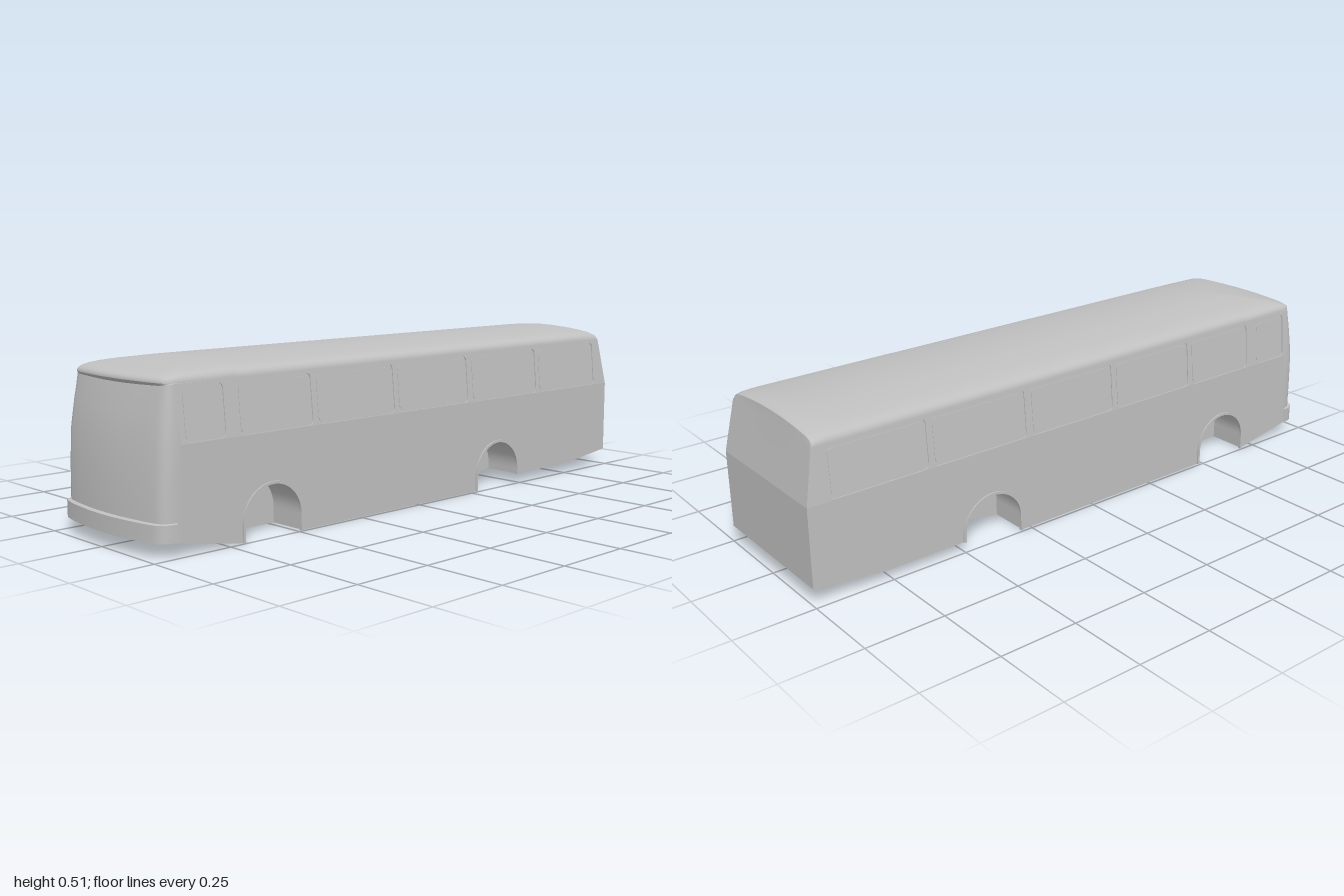
import * as THREE from 'three';

const paint = new THREE.MeshStandardMaterial({ color: 0xc0c0c0, side: THREE.DoubleSide });
paint.name = 'body grey';

const ARCHES = [-0.39, 0.59], R = 0.11, ARCH_Y = 0.05, WELL_X = 0.11, SKIN = 0.004;
const WINDOWS = [[0.75, 0.89], [0.435, 0.705], [0.1, 0.42], [-0.24, 0.085], [-0.595, -0.26], [-0.93, -0.61]];

// Height of the underside along the length
const KEEL = [[-1, 0.055], [-0.77, 0.03], [-0.5, 0.03], [-0.28, 0], [0.7, 0], [0.985, 0.05]];
function keelY(z) {
  for (let i = 1; i < KEEL.length; i++) {
    const [z0, y0] = KEEL[i - 1], [z1, y1] = KEEL[i];
    if (z <= z1) return y0 + (y1 - y0) * (z - z0) / (z1 - z0);
  }
  return 0.05;
}
// Half width: upright below the waist, leaning in above it
const halfWidth = y => 0.24 - Math.max(0, y - 0.3) * (0.015 / 0.16);

const mirrorRow = half => [...half, ...half.slice(0, -1).reverse().map(([x, y, z]) => [-x, y, z])];

// Surface through rows of points
function grid(rows) {
  const n = rows[0].length, index = [];
  for (let r = 0; r < rows.length - 1; r++)
    for (let i = 0; i < n - 1; i++) {
      const a = r * n + i, b = a + n;
      index.push(a, a + 1, b, a + 1, b + 1, b);
    }
  const g = new THREE.BufferGeometry();
  g.setAttribute('position', new THREE.Float32BufferAttribute(rows.flat(2), 3));
  g.setIndex(index);
  g.computeVertexNormals();
  return g;
}

// Flat (z, y) shape turned into a thin side panel that follows the wall
function sidePanel(shape, side, depth, out = 0) {
  const g = new THREE.ExtrudeGeometry(shape, { depth, bevelEnabled: false, curveSegments: 24 });
  g.rotateY(-Math.PI / 2);
  const p = g.attributes.position;
  for (let i = 0; i < p.count; i++) {
    const inset = side > 0 ? p.getX(i) : p.getX(i) + depth;
    p.setX(i, side * (halfWidth(p.getY(i)) + out) + inset);
  }
  g.computeVertexNormals();
  return g;
}

function archTo(s, c, r, back = false) {
  const a = c - r, b = c + r;
  if (!back) {
    s.lineTo(a, keelY(a)); s.lineTo(a, ARCH_Y);
    s.absarc(c, ARCH_Y, r, Math.PI, 0, true);
    s.lineTo(b, keelY(b));
  } else {
    s.lineTo(b, keelY(b)); s.lineTo(b, ARCH_Y);
    s.absarc(c, ARCH_Y, r, 0, Math.PI, false);
    s.lineTo(a, keelY(a));
  }
}

function roundedHole(z0, z1, y0, y1, r) {
  const h = new THREE.Path();
  h.moveTo(z0 + r, y0);
  h.lineTo(z1 - r, y0); h.quadraticCurveTo(z1, y0, z1, y0 + r);
  h.lineTo(z1, y1 - r); h.quadraticCurveTo(z1, y1, z1 - r, y1);
  h.lineTo(z0 + r, y1); h.quadraticCurveTo(z0, y1, z0, y1 - r);
  h.lineTo(z0, y0 + r); h.quadraticCurveTo(z0, y0, z0 + r, y0);
  return h;
}

// Bowed plan of the nose, from the side to the middle
const NOSE = [[0.24, 0.9], [0.24, 0.918], [0.238, 0.935], [0.232, 0.948], [0.222, 0.958],
  [0.205, 0.965], [0.16, 0.973], [0.11, 0.979], [0.055, 0.984], [0, 0.985]];
function noseRing(w, front, base, ySide, yFront) {
  const plan = base < 0.9 ? [[0.24, base], [0.24, 0.8], ...NOSE] : NOSE;
  return mirrorRow(plan.map(([x, z]) => {
    const t = (z - base) / (0.985 - base);
    return [x * w / 0.24, ySide + (yFront - ySide) * t * t, base + t * (front - base)];
  }));
}

export function createModel() {
  const bus = new THREE.Group();
  bus.name = 'busBody';
  const add = (name, geometry) => {
    const m = new THREE.Mesh(geometry, paint);
    m.name = name;
    bus.add(m);
  };

  // Roof: arched section run from the rear edge to the domed front
  const arch = [[0.225, 0.46], [0.2245, 0.466], [0.222, 0.473], [0.217, 0.48], [0.208, 0.486], [0.19, 0.492],
    [0.155, 0.498], [0.11, 0.504], [0.055, 0.5085], [0, 0.51]];
  const roofRow = (z, drop) => mirrorRow(arch.map(([x, y]) => [x, y - drop * (y - 0.46) / 0.05, z]));
  const rearEdge = roofRow(-0.963, 0.014);
  add('roof', grid([rearEdge, roofRow(-0.95, 0.006), roofRow(-0.92, 0.001), roofRow(-0.85, 0), roofRow(0.7, 0)]));

  const domeFront = [[0.957, 0.462], [0.957, 0.467], [0.953, 0.473], [0.945, 0.478], [0.93, 0.483],
    [0.91, 0.488], [0.875, 0.495], [0.83, 0.502], [0.77, 0.508], [0.7, 0.51]];
  const dome = arch.map(([x, y], i) => noseRing(x, domeFront[i][0], 0.7, y, domeFront[i][1]));
  add('roofFront', grid(dome));

  // Front wall, with the brow shelf above it
  const bottom = noseRing(0.24, 0.985, 0.9, 0, 0).map(([x, , z]) => [x, keelY(z), z]);
  const face = [[0.1, 0.985], [0.2, 0.982], [0.3, 0.974], [0.38, 0.961]]
    .map(([y, f]) => noseRing(halfWidth(y), f, 0.9, y, y));
  const faceTop = noseRing(0.225, 0.944, 0.9, 0.46, 0.451);
  add('frontWall', grid([bottom, ...face, faceTop]));
  add('frontBrow', grid([faceTop, dome[0].slice(2, -2)]));

  // Rear wall: upright panel and leaning upper panel
  const rearRow = (y, z) => rearEdge.map(([x]) => [x * halfWidth(y) / 0.225, y, z]);
  add('rearLowerPanel', grid([rearRow(0.055, -1), rearRow(0.3, -1)]));
  add('rearUpperPanel', grid([rearRow(0.3, -1), rearRow(0.46, -0.968), rearEdge]));

  // Bumper wrapped around the nose
  const bumperRing = (y, grow) => mirrorRow(NOSE.slice(1)
    .map(([x, z]) => [x * (1 + grow * 0.025), y, z + grow * 0.015 * (z - 0.9) / 0.085]));
  const bumper = [[0.042, 0], [0.042, 1], [0.092, 1], [0.094, 0]].map(([y, g]) => bumperRing(y, g));
  for (let i = 0; i < 3; i++) add('bumper', grid([bumper[i], bumper[i + 1]]));

  // Underside, leaving the wheel wells open
  const floor = (x0, x1, zs) => add('floor', grid(zs.map(z => [[x0, keelY(z), z], [x1, keelY(z), z]])));
  floor(-WELL_X, WELL_X, [-1, -0.77, -0.5, -0.28, 0.7]);
  add('frontFloor', grid([bottom.map(([x]) => [x, 0, 0.7]), bottom]));

  for (const side of [1, -1]) {
    const inner = side * WELL_X, outer = side * 0.24;
    floor(inner, outer, [-1, -0.77, -0.5]);
    floor(inner, outer, [-0.28, 0.48]);

    // Lower wall with wheel arch cut-outs
    const low = new THREE.Shape();
    low.moveTo(-1, 0.055);
    low.lineTo(-0.77, 0.03);
    ARCHES.forEach(c => archTo(low, c, R));
    low.lineTo(0.9, keelY(0.9));
    low.lineTo(0.9, 0.3);
    low.lineTo(-1, 0.3);
    add('lowerSide', sidePanel(low, side, SKIN));

    // Window band with recessed panes
    const band = new THREE.Shape();
    band.moveTo(-1, 0.3);
    band.lineTo(0.9, 0.3);
    band.lineTo(0.9, 0.46);
    band.lineTo(-0.968, 0.46);
    WINDOWS.forEach(([a, b]) => band.holes.push(roundedHole(a, b, 0.302, 0.452, 0.018)));
    add('windowBand', sidePanel(band, side, SKIN));
    WINDOWS.forEach(([a, b]) => {
      const pane = new THREE.Shape(roundedHole(a, b, 0.302, 0.452, 0.018).getPoints(6));
      add('windowPane', sidePanel(pane, side, 0.002, -0.003));
      const rim = new THREE.Shape(roundedHole(a + 0.008, b - 0.008, 0.31, 0.444, 0.014).getPoints(6));
      add('windowGlass', sidePanel(rim, side, 0.002, -0.0015));
    });

    for (const c of ARCHES) {
      // Wheel well liner and its inner wall
      const path = new THREE.Shape();
      path.moveTo(c - R, keelY(c - R));
      archTo(path, c, R);
      const pts = path.getPoints(24);
      add('wheelWell', grid([inner, outer].map(x => pts.map(p => [x, p.y, p.x]))));
      const wall = new THREE.ShapeGeometry(path, 24);
      wall.rotateY(-Math.PI / 2).translate(inner, 0, 0);
      add('wheelWellWall', wall);

      // Raised lip around the arch
      const lip = new THREE.Shape();
      lip.moveTo(c - R, keelY(c - R));
      archTo(lip, c, R);
      archTo(lip, c, R - 0.008, true);
      add('archLip', sidePanel(lip, side, 0.009, 0.005));
    }
  }
  return bus;
}
